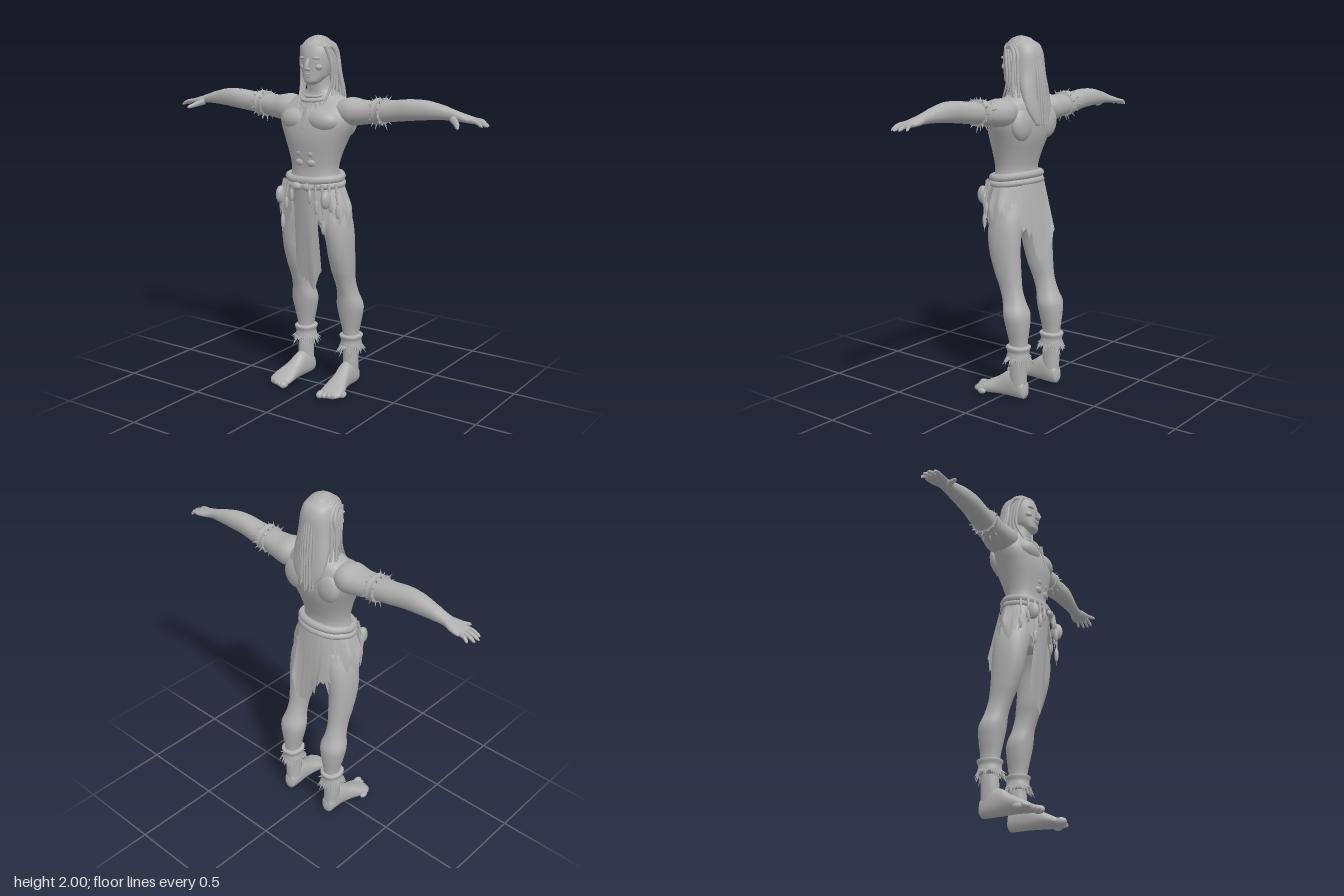
import * as THREE from 'three';
import { mergeGeometries, mergeVertices } from 'three/addons/utils/BufferGeometryUtils.js';

const grey = new THREE.MeshStandardMaterial({ color: 0xb0b0b0, side: THREE.DoubleSide });
grey.name = 'plain grey';
const V = (x, y, z) => new THREE.Vector3(x, y, z);
const rnd = (i) => { const s = Math.sin(i * 127.1 + 3.7) * 43758.5; return s - Math.floor(s); };

// Smooth skin over sections [t, centreA, centreB, radiusA, radiusB] along an axis.
// Axis y: A = x, B = z. Axis x: A = z, B = y. Axis z: A = y, B = x.
function loft(axis, secs, { seg = 24, sub = 4, pow = 2.2 } = {}) {
  const rows = [];
  const at = (i) => secs[Math.max(0, Math.min(secs.length - 1, i))];
  for (let i = 0; i < secs.length - 1; i++) {
    for (let k = 0; k < sub + (i === secs.length - 2 ? 1 : 0); k++) {
      const t = k / sub;
      rows.push(at(i).map((p1, c) => {
        const p0 = at(i - 1)[c], p2 = at(i + 1)[c], p3 = at(i + 2)[c];
        if (c === 0) return p1 + (p2 - p1) * t;
        return p1 + 0.5 * t * (p2 - p0 + t * (2 * p0 - 5 * p1 + 4 * p2 - p3 + t * (3 * (p1 - p2) + p3 - p0)));
      }));
    }
  }
  const put = (t, a, b) => axis === 'y' ? [a, t, b] : axis === 'x' ? [t, b, a] : [b, a, t];
  const round = (v) => Math.sign(v) * Math.abs(v) ** (2 / pow);
  const pos = [], idx = [], n = rows.length;
  for (const [t, a, b, ra, rb] of rows) {
    for (let i = 0; i < seg; i++) {
      const w = i / seg * Math.PI * 2;
      pos.push(...put(t, a + ra * round(Math.cos(w)), b + rb * round(Math.sin(w))));
    }
  }
  pos.push(...put(...rows[0].slice(0, 3)), ...put(...rows[n - 1].slice(0, 3)));
  for (let i = 0; i < seg; i++) {
    const j = (i + 1) % seg;
    for (let r = 0; r < n - 1; r++) {
      const a = r * seg + i, b = r * seg + j;
      idx.push(a, a + seg, b, b, a + seg, b + seg);
    }
    idx.push(n * seg, i, j, n * seg + 1, (n - 1) * seg + j, (n - 1) * seg + i);
  }
  const g = new THREE.BufferGeometry();
  g.setAttribute('position', new THREE.Float32BufferAttribute(pos, 3));
  g.setIndex(idx);
  g.computeVertexNormals();
  return g;
}

// Tube that tapers from r0 to r1
function taper(points, r0, r1, steps = 8, sides = 6) {
  const curve = new THREE.CatmullRomCurve3(points);
  const g = new THREE.TubeGeometry(curve, steps, 1, sides);
  const p = g.attributes.position, v = V(0, 0, 0);
  for (let i = 0; i < p.count; i++) {
    const t = Math.floor(i / (sides + 1)) / steps, c = curve.getPointAt(t);
    const r = (r0 + (r1 - r0) * t) * (t === 1 ? 0.4 : 1);
    v.fromBufferAttribute(p, i).sub(c).multiplyScalar(r).add(c);
    p.setXYZ(i, v.x, v.y, v.z);
  }
  return g;
}
const spike = (a, b, r) => taper([a, b], r, 0.0005, 2, 4);
const ball = (x, y, z, rx, ry, rz) => new THREE.SphereGeometry(1, 20, 14).scale(rx, ry, rz).translate(x, y, z);

// Ragged sheet: f(u, v) gives a point, u across, v downward
function sheet(f, nu = 40, nv = 8) {
  const g = mergeVertices(new THREE.PlaneGeometry(1, 1, nu, nv).deleteAttribute('uv').deleteAttribute('normal'));
  const p = g.attributes.position;
  for (let i = 0; i < p.count; i++) p.setXYZ(i, ...f(p.getX(i) + 0.5, 0.5 - p.getY(i)));
  g.computeVertexNormals();
  return g;
}

function mirrored(g) {
  const m = (g.index ? g.toNonIndexed() : g.clone()).scale(-1, 1, 1);
  for (const name of Object.keys(m.attributes)) {
    const { array: a, itemSize: s } = m.attributes[name];
    for (let i = 0; i < a.length; i += 3 * s)
      for (let k = 0; k < s; k++) [a[i + s + k], a[i + 2 * s + k]] = [a[i + 2 * s + k], a[i + s + k]];
  }
  const n = m.attributes.normal; // face directions follow the reflection
  const p = m.attributes.position, e = V(0, 0, 0), f = V(0, 0, 0), q = V(0, 0, 0);
  for (let i = 0; i < p.count; i += 3) {
    q.fromBufferAttribute(p, i);
    e.fromBufferAttribute(p, i + 1).sub(q);
    f.fromBufferAttribute(p, i + 2).sub(q);
    e.cross(f);
    if (e.x * n.getX(i) + e.y * n.getY(i) + e.z * n.getZ(i) < 0 && e.length() > 1e-9)
      for (let k = 0; k < 3; k++) n.setXYZ(i + k, -n.getX(i + k), -n.getY(i + k), -n.getZ(i + k));
  }
  return m;
}

export function createModel() {
  const root = new THREE.Group();
  root.name = 'warrior';
  const add = (name, ...geos) => {
    const flat = geos.map((g) => { const h = g.index ? g.toNonIndexed() : g; h.deleteAttribute('uv'); return h; });
    const mesh = new THREE.Mesh(mergeGeometries(flat), grey);
    mesh.name = name;
    root.add(mesh);
  };
  const pair = (name, ...geos) => {
    const copies = geos.map(mirrored);
    add(name + 'Left', ...geos);
    add(name + 'Right', ...copies);
  };

  // Torso, neck and pelvis
  add('torso', loft('y', [
    [0.97, 0, 0.01, 0.12, 0.07], [1.05, 0, 0.01, 0.175, 0.1], [1.18, 0, 0.03, 0.16, 0.115], [1.27, 0, 0.035, 0.137, 0.1],
    [1.36, 0, 0.03, 0.155, 0.115], [1.45, 0, 0.02, 0.19, 0.135], [1.53, 0, 0.01, 0.225, 0.137],
    [1.59, 0, 0, 0.225, 0.125], [1.64, 0, -0.015, 0.19, 0.1], [1.68, 0, -0.02, 0.12, 0.08],
    [1.71, 0, -0.005, 0.07, 0.065], [1.8, 0, 0.01, 0.058, 0.06]], { seg: 36 }));
  pair('chestMuscle', ball(0.085, 1.545, 0.085, 0.1, 0.065, 0.068));
  pair('shoulderBlade', ball(0.11, 1.53, -0.085, 0.08, 0.09, 0.042));
  pair('abdomen', ...[1.32, 1.37, 1.42].map((y) => ball(0.035, y, 0.115, 0.034, 0.028, 0.033)));

  // Head and face
  add('head', loft('y', [
    [1.735, 0, 0.065, 0.02, 0.02], [1.75, 0, 0.06, 0.045, 0.045], [1.785, 0, 0.03, 0.068, 0.075], [1.84, 0, 0.015, 0.082, 0.09],
    [1.9, 0, 0.01, 0.085, 0.093], [1.95, 0, 0, 0.073, 0.083], [1.985, 0, -0.005, 0.03, 0.04]]));
  add('nose', taper([V(0, 1.875, 0.1), V(0, 1.845, 0.115), V(0, 1.82, 0.12)], 0.009, 0.018), ball(0, 1.82, 0.112, 0.02, 0.01, 0.014));
  add('mouth', ball(0, 1.792, 0.1, 0.026, 0.006, 0.012), ball(0, 1.78, 0.098, 0.022, 0.007, 0.012));
  pair('brow', ball(0.036, 1.878, 0.088, 0.03, 0.009, 0.016));
  pair('eye', ball(0.035, 1.86, 0.085, 0.016, 0.007, 0.012));
  pair('cheek', ball(0.045, 1.83, 0.075, 0.025, 0.02, 0.022));

  // Hair: a solid mass under rows of locks
  add('hairMass', loft('y', [
    [1.52, 0, -0.135, 0.05, 0.012], [1.6, 0, -0.115, 0.1, 0.03], [1.7, 0, -0.09, 0.11, 0.045], [1.8, 0, -0.06, 0.1, 0.066],
    [1.9, 0, -0.035, 0.093, 0.085], [1.95, 0, -0.015, 0.08, 0.085], [1.985, 0, -0.005, 0.035, 0.045]]));
  const locks = [];
  for (let i = 0; i < 17; i++) {
    const a = i / 8 - 1, q = a * a, j = rnd(i) - 0.5;
    locks.push(taper([
      V(a * 0.075, 1.945 - 0.02 * q, 0.08 - 0.035 * q), V(a * 0.085, 1.986 - 0.045 * q, 0.01),
      V(a * 0.1, 1.94 - 0.05 * q, -0.085 + 0.06 * q), V(a * 0.113, 1.82, -0.125 + 0.1 * q),
      V(a * 0.127, 1.68, -0.142 + 0.1 * q), V(a * 0.12 + j * 0.02, 1.52 + 0.05 * q + j * 0.05, -0.152 + 0.09 * q)],
      0.014, 0.006, 22));
  }
  add('hairLocks', ...locks);
  pair('sideLocks', ...[0, 1, 2, 3].map((i) => taper([
    V(0.075, 1.94, 0.05 - i * 0.015), V(0.096, 1.86, 0.03 - i * 0.018), V(0.1 + i * 0.003, 1.75, 0.025 - i * 0.02),
    V(0.085 + i * 0.015, 1.64, 0.075 - i * 0.03), V(0.085 + i * 0.015, 1.59 + rnd(i) * 0.03, 0.105 - i * 0.035)], 0.012, 0.004, 18)));

  // Arms with hands
  const hand = [0, 1, 2, 3].map((i) => taper([
    V(0.9, 1.594, 0.008 - i * 0.022), V(0.95, 1.588, 0.014 - i * 0.025),
    V([0.985, 1, 0.995, 0.97][i], 1.568, 0.019 - i * 0.028)], 0.013, 0.008));
  hand.push(taper([V(0.82, 1.595, 0.01), V(0.86, 1.575, 0.05), V(0.885, 1.56, 0.09)], 0.02, 0.009));
  pair('arm', loft('x', [
    [0.12, -0.01, 1.6, 0.07, 0.05], [0.2, -0.015, 1.597, 0.095, 0.075], [0.28, -0.015, 1.595, 0.085, 0.066],
    [0.38, -0.015, 1.605, 0.068, 0.058], [0.48, -0.015, 1.615, 0.062, 0.057], [0.57, -0.012, 1.625, 0.057, 0.056],
    [0.66, -0.018, 1.628, 0.05, 0.05], [0.76, -0.024, 1.62, 0.038, 0.036], [0.82, -0.025, 1.61, 0.034, 0.026],
    [0.87, -0.027, 1.6, 0.046, 0.02], [0.92, -0.028, 1.592, 0.048, 0.014], [0.935, -0.028, 1.592, 0.03, 0.006]]), ...hand);

  // Fur bands on the upper arms
  const armFur = [];
  for (let i = 0; i < 26; i++) {
    const w = i / 26 * Math.PI * 2, r = 0.066, o = r + 0.016 + rnd(i) * 0.022;
    const x = i % 2 ? 0.405 : 0.365;
    armFur.push(spike(V(x, 1.607 + r * Math.sin(w), -0.015 + r * Math.cos(w) * 1.1),
      V(x + (i % 2 ? 0.015 : -0.008), 1.607 + o * Math.sin(w), -0.015 + o * Math.cos(w)), 0.006));
  }
  pair('armBand', loft('x', [[0.355, -0.015, 1.605, 0.06, 0.055], [0.36, -0.015, 1.605, 0.078, 0.07],
    [0.385, -0.015, 1.607, 0.074, 0.066], [0.408, -0.015, 1.609, 0.077, 0.07], [0.413, -0.015, 1.609, 0.06, 0.055]]), ...armFur);

  // Legs
  pair('leg', loft('y', [
    [0.06, 0.155, -0.1, 0.04, 0.045], [0.14, 0.157, -0.095, 0.042, 0.05], [0.24, 0.158, -0.098, 0.042, 0.048],
    [0.33, 0.157, -0.096, 0.046, 0.054], [0.42, 0.157, -0.092, 0.066, 0.066], [0.49, 0.157, -0.085, 0.076, 0.072],
    [0.56, 0.155, -0.065, 0.058, 0.065], [0.63, 0.153, -0.042, 0.052, 0.067], [0.7, 0.151, -0.022, 0.06, 0.077],
    [0.8, 0.151, -0.002, 0.066, 0.09], [0.9, 0.146, 0.008, 0.072, 0.098], [1, 0.122, 0.012, 0.085, 0.1],
    [1.1, 0.095, 0.015, 0.08, 0.09]]));

  // Feet turned slightly out, with toes
  const toes = [0, 1, 2, 3, 4].map((i) => {
    const x = 0.125 + i * 0.027, z = 0.17 - i * i * 0.004;
    return ball(x + 0.003, 0.02, z, i ? 0.015 : 0.021, i ? 0.018 : 0.022, i ? 0.028 : 0.034);
  });
  pair('foot', loft('z', [
    [-0.152, 0.045, 0.155, 0.02, 0.018], [-0.14, 0.055, 0.155, 0.05, 0.036], [-0.09, 0.075, 0.155, 0.073, 0.042],
    [-0.03, 0.075, 0.158, 0.073, 0.042], [0.03, 0.055, 0.165, 0.053, 0.05], [0.09, 0.039, 0.173, 0.037, 0.065],
    [0.14, 0.026, 0.176, 0.025, 0.068], [0.17, 0.02, 0.174, 0.015, 0.05]]), ...toes);

  // Fur anklets
  const ankleFur = [];
  for (let i = 0; i < 40; i++) {
    const w = i / 40 * Math.PI * 2, c = Math.cos(w), s = Math.sin(w), o = 0.066 + rnd(i + 50) * 0.03;
    ankleFur.push(spike(V(0.158 + 0.056 * c, 0.245, -0.097 + 0.06 * s),
      V(0.158 + o * c, 0.18 + rnd(i + 9) * 0.05, -0.097 + o * s), 0.009));
  }
  pair('anklet', loft('y', [[0.225, 0.158, -0.097, 0.048, 0.054], [0.24, 0.158, -0.097, 0.06, 0.065],
    [0.275, 0.158, -0.097, 0.056, 0.062], [0.305, 0.158, -0.097, 0.064, 0.07], [0.312, 0.158, -0.097, 0.045, 0.05]]), ...ankleFur);

  // Belt: two rolled cords round the hips
  const ring = (y, rx, rz, z, r, tilt) => {
    const pts = [];
    for (let i = 0; i < 16; i++) {
      const w = i / 8 * Math.PI;
      pts.push(V(rx * Math.cos(w), y + tilt * Math.sin(w) + 0.006 * (rnd(i) - 0.5), z + rz * Math.sin(w)));
    }
    return new THREE.TubeGeometry(new THREE.CatmullRomCurve3(pts, true), 64, r, 8, true);
  };
  add('belt', ring(1.235, 0.157, 0.115, 0.035, 0.022, -0.012), ring(1.2, 0.164, 0.12, 0.035, 0.018, -0.01));

  // Torn skirt, open at the front, lower behind
  add('skirt', sheet((u, v) => {
    const w = Math.PI * (0.62 + 1.76 * u), back = Math.max(0, -Math.sin(w));
    const drop = 0.14 + 0.11 * back + 0.1 * rnd(Math.round(u * 60)) + 0.02 * Math.sin(u * 40);
    return [(0.165 + 0.055 * Math.min(1, v * 1.4)) * Math.cos(w), 1.205 - drop * v, 0.03 + (0.12 + 0.012 * v) * Math.sin(w) - 0.02 * v * back];
  }, 60));
  // Long loincloth strips, front and back
  const strip = (top, low, w0, w1, z0, z1, seed) => sheet((u, v) => {
    const k = u * 2 - 1, l = low + 0.12 * Math.abs(k - 0.2) + 0.06 * rnd(seed + Math.round(u * 16));
    const w = w0 + (w1 - w0) * v;
    return [k * w, top + (l - top) * v, z0 + (z1 - z0) * v - Math.sign(z0) * 0.018 * k * k * (1 - v)];
  }, 16, 10);
  add('frontCloth', strip(1.21, 0.56, 0.07, 0.085, 0.165, 0.1, 4));
  add('backCloth', strip(1.2, 0.73, 0.1, 0.1, -0.1, -0.155, 31));

  // Pouches, bones and thongs hung from the belt
  const hung = [];
  [[0.06, 1.08, 0.17], [0.1, 1.03, 0.165], [0.135, 0.92, 0.15], [0.165, 1.04, 0.125], [0.19, 1.0, 0.09]].forEach(([x, y, z], i) => {
    hung.push(taper([V(x * 0.9, 1.21, z), V(x, (1.21 + y) / 2, z + 0.01), V(x + 0.012, y, z)], 0.008, 0.003));
    hung.push(ball(x, y + 0.06, z + 0.008, 0.012, 0.035 + 0.01 * rnd(i), 0.012));
  });
  pair('beltHangings', ...hung, ball(0.15, 1.13, 0.155, 0.025, 0.05, 0.035), ball(0.035, 1.19, 0.165, 0.03, 0.022, 0.02));

  // Necklaces with teeth and a long pendant
  const teeth = [];
  for (let i = 0; i < 11; i++) {
    const w = Math.PI * (0.1 + 0.08 * i), c = Math.cos(w), s = Math.sin(w);
    teeth.push(spike(V(0.09 * c, 1.655 - 0.015 * s, 0.005 + 0.1 * s), V(0.115 * c, 1.605 - 0.02 * s - 0.015 * (i % 2), 0.01 + 0.132 * s), 0.009));
  }
  teeth.push(spike(V(0, 1.62, 0.13), V(0, 1.46, 0.165), 0.012));
  add('necklace', ring(1.69, 0.072, 0.075, 0, 0.008, -0.02), ring(1.67, 0.09, 0.1, 0, 0.009, -0.02), ...teeth);

  return root;
}
